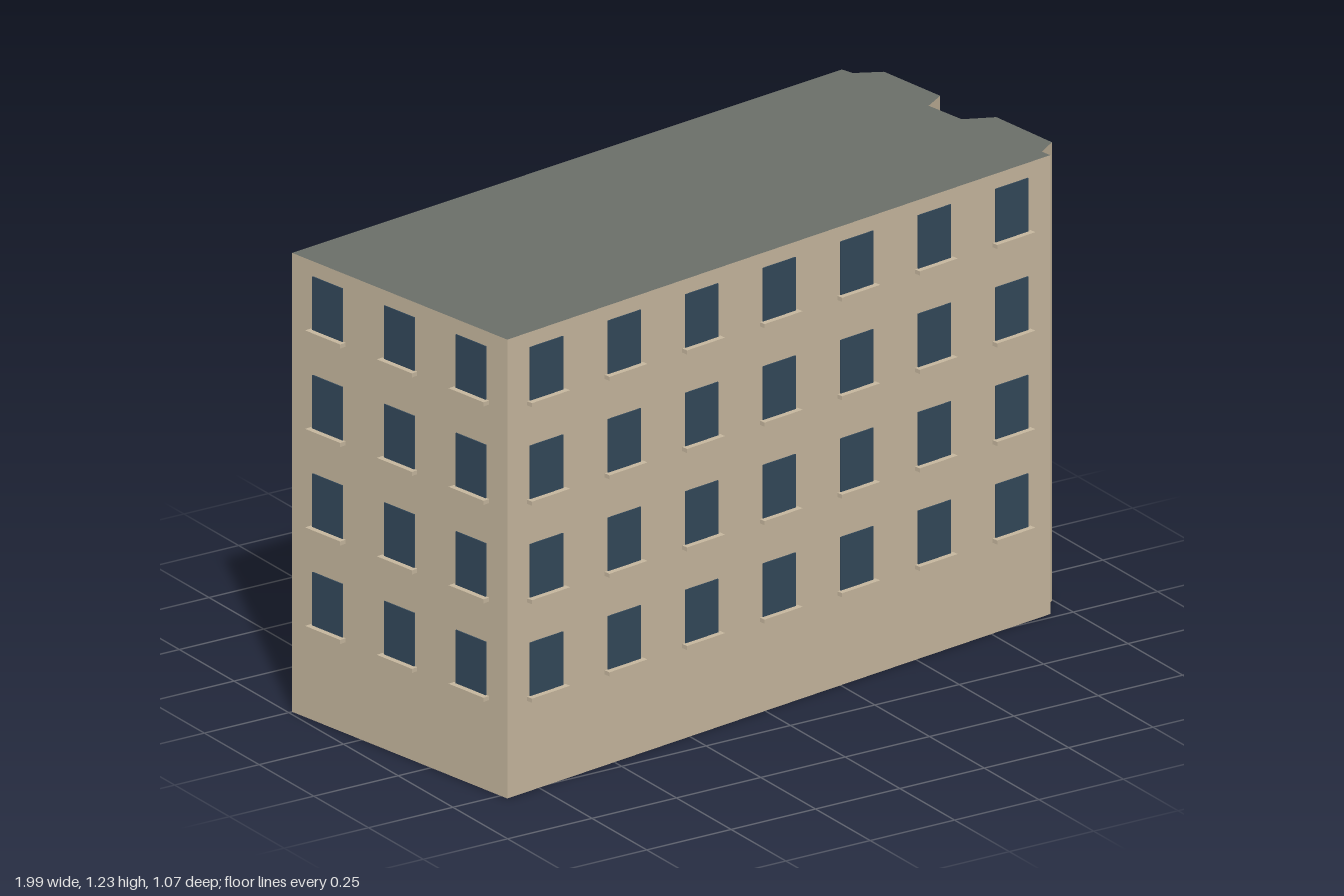
import * as THREE from 'three';

const HEIGHT = 1.23;
const FLOORS = 4;

const wallMat = new THREE.MeshStandardMaterial({ color: 0xc6b79e });
const roofMat = new THREE.MeshStandardMaterial({ color: 0x6b6f69 });
const glassMat = new THREE.MeshStandardMaterial({ color: 0x33485a });

// Footprint as [x, z], starting at the front right corner
const footprint = [
  [-0.855, 0.525], [0.945, 0.23], [0.94, 0.2], [0.995, 0.16],
  [0.97, -0.055], [0.89, -0.09], [0.87, -0.21], [0.93, -0.25],
  [0.9, -0.46], [0.83, -0.495], [0.82, -0.53], [-0.99, -0.25],
];

function addBox(parent, name, size, pos, material) {
  const mesh = new THREE.Mesh(new THREE.BoxGeometry(...size), material);
  mesh.name = name;
  mesh.position.set(...pos);
  parent.add(mesh);
}

// Grid of windows with sills on the wall from a to b; local +z points outward
function windowWall(name, a, b, columns) {
  const wall = new THREE.Group();
  wall.name = name;
  const dx = b[0] - a[0], dz = b[1] - a[1];
  const length = Math.hypot(dx, dz);
  wall.position.set(a[0], 0, a[1]);
  wall.rotation.y = Math.atan2(-dz, dx);
  for (let floor = 0; floor < FLOORS; floor++) {
    const bottom = 0.255 + floor * 0.264;
    for (let i = 0; i < columns; i++) {
      const x = ((i + 0.5) / columns) * length;
      addBox(wall, 'window', [0.11, 0.143, 0.006], [x, bottom + 0.0715, 0], glassMat);
      addBox(wall, 'windowSill', [0.128, 0.011, 0.018], [x, bottom - 0.0055, 0.009], wallMat);
    }
  }
  return wall;
}

export function createModel() {
  const model = new THREE.Group();
  model.name = 'apartmentBlock';

  // Solid body: caps are the roof and base, sides are the walls
  const shape = new THREE.Shape(footprint.map(([x, z]) => new THREE.Vector2(x, -z)));
  const bodyGeo = new THREE.ExtrudeGeometry(shape, { depth: HEIGHT, bevelEnabled: false });
  bodyGeo.rotateX(-Math.PI / 2);
  const body = new THREE.Mesh(bodyGeo, [roofMat, wallMat]);
  body.name = 'buildingBody';
  model.add(body);

  // Windowed walls; the notched end stays blank
  const [frontRight, frontLeft] = footprint;
  const backLeft = footprint[10], backRight = footprint[11];
  model.add(
    windowWall('frontWindows', frontRight, frontLeft, 7),
    windowWall('backWindows', backLeft, backRight, 7),
    windowWall('endWindows', backRight, frontRight, 3),
  );
  return model;
}
